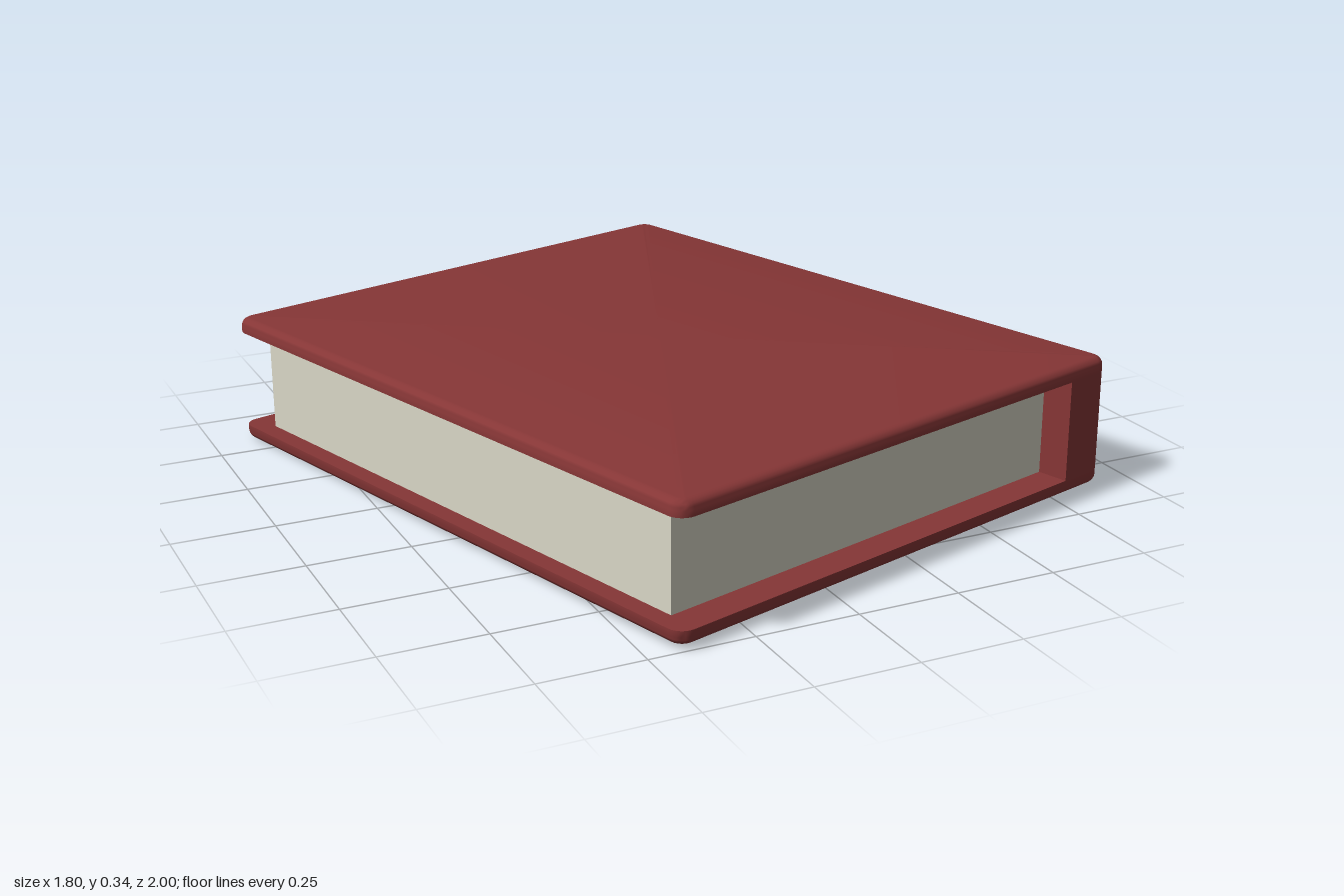
import * as THREE from 'three';
import { toCreasedNormals } from 'three/addons/utils/BufferGeometryUtils.js';

const W = 1.4, D = 1.692, H = 0.326;  // closed book
const BOARD = 0.037;                  // cover board thickness
const SPINE = 0.14;                   // spine thickness
const CORNER = 0.038, EDGE = 0.022;   // corner and edge rounding
const INNER = H / 2 - BOARD;          // inner face height of a board

// Rounded rectangle outline, shrunk by inset
function outline(inset) {
  const pts = [], r = CORNER - inset, steps = 6;
  [[1, 1], [-1, 1], [-1, -1], [1, -1]].forEach(([sx, sz], q) => {
    for (let i = 0; i <= steps; i++) {
      const a = (q + i / steps) * Math.PI / 2;
      pts.push([sx * (W / 2 - CORNER) + r * Math.cos(a), sz * (D / 2 - CORNER) + r * Math.sin(a)]);
    }
  });
  return pts;
}

// Board: flat inside, rounded over towards the outer face
function boardGeometry() {
  const levels = [[INNER, 0]];
  for (let i = 0; i <= 5; i++) {
    const a = (i / 5) * Math.PI / 2;
    levels.push([H / 2 - EDGE + EDGE * Math.sin(a), EDGE * (1 - Math.cos(a))]);
  }
  const pos = [], index = [], n = outline(0).length;
  levels.forEach(([y, inset]) => outline(inset).forEach(([x, z]) => pos.push(x, y, z)));
  for (let l = 0; l < levels.length - 1; l++) {
    for (let i = 0; i < n; i++) {
      const a = l * n + i, b = l * n + (i + 1) % n;
      index.push(a, a + n, b, b, a + n, b + n);
    }
  }
  // Flat caps inside and outside
  const last = (levels.length - 1) * n, c = pos.length / 3;
  pos.push(0, INNER, 0, 0, H / 2, 0);
  for (let i = 0; i < n; i++) {
    const j = (i + 1) % n;
    index.push(c, i, j, c + 1, last + j, last + i);
  }
  const geo = new THREE.BufferGeometry();
  geo.setAttribute('position', new THREE.Float32BufferAttribute(pos, 3));
  geo.setIndex(index);
  return toCreasedNormals(geo, 0.7);
}

// Spine: block between the boards, rounded on its outer vertical edges
function spineGeometry() {
  const x0 = W / 2 - SPINE, x1 = W / 2, d = D / 2, r = CORNER;
  const s = new THREE.Shape();
  s.moveTo(x0, -d);
  s.lineTo(x1 - r, -d);
  s.absarc(x1 - r, -d + r, r, -Math.PI / 2, 0, false);
  s.lineTo(x1, d - r);
  s.absarc(x1 - r, d - r, r, 0, Math.PI / 2, false);
  s.lineTo(x0, d);
  s.closePath();
  const geo = new THREE.ExtrudeGeometry(s, { depth: 2 * INNER, bevelEnabled: false, curveSegments: 6 });
  geo.translate(0, 0, -INNER);
  geo.rotateX(-Math.PI / 2);
  return toCreasedNormals(geo, 0.7);
}

export function createModel() {
  const red = new THREE.MeshStandardMaterial({ color: 0x863636 });
  const cream = new THREE.MeshStandardMaterial({ color: 0xd9d7c6 });
  const book = new THREE.Group();
  book.name = 'book';
  const add = (name, geo, mat) => {
    const mesh = new THREE.Mesh(geo, mat);
    mesh.name = name;
    book.add(mesh);
    return mesh;
  };

  add('frontCover', boardGeometry(), red);
  add('backCover', boardGeometry(), red).rotation.x = Math.PI;
  add('spine', spineGeometry(), red);

  // Page block, set back from the boards on three sides
  const pageLeft = -W / 2 + 0.047, pageRight = W / 2 - SPINE;
  add('pages', new THREE.BoxGeometry(pageRight - pageLeft, 2 * INNER, 1.53), cream)
    .position.x = (pageLeft + pageRight) / 2;

  // Lying turned, and tipped very slightly
  book.rotation.set(-0.005, THREE.MathUtils.degToRad(16.5), 0);
  book.position.y = H / 2 + 0.005;

  const model = new THREE.Group();
  model.name = 'closedBook';
  model.add(book);
  return model;
}
